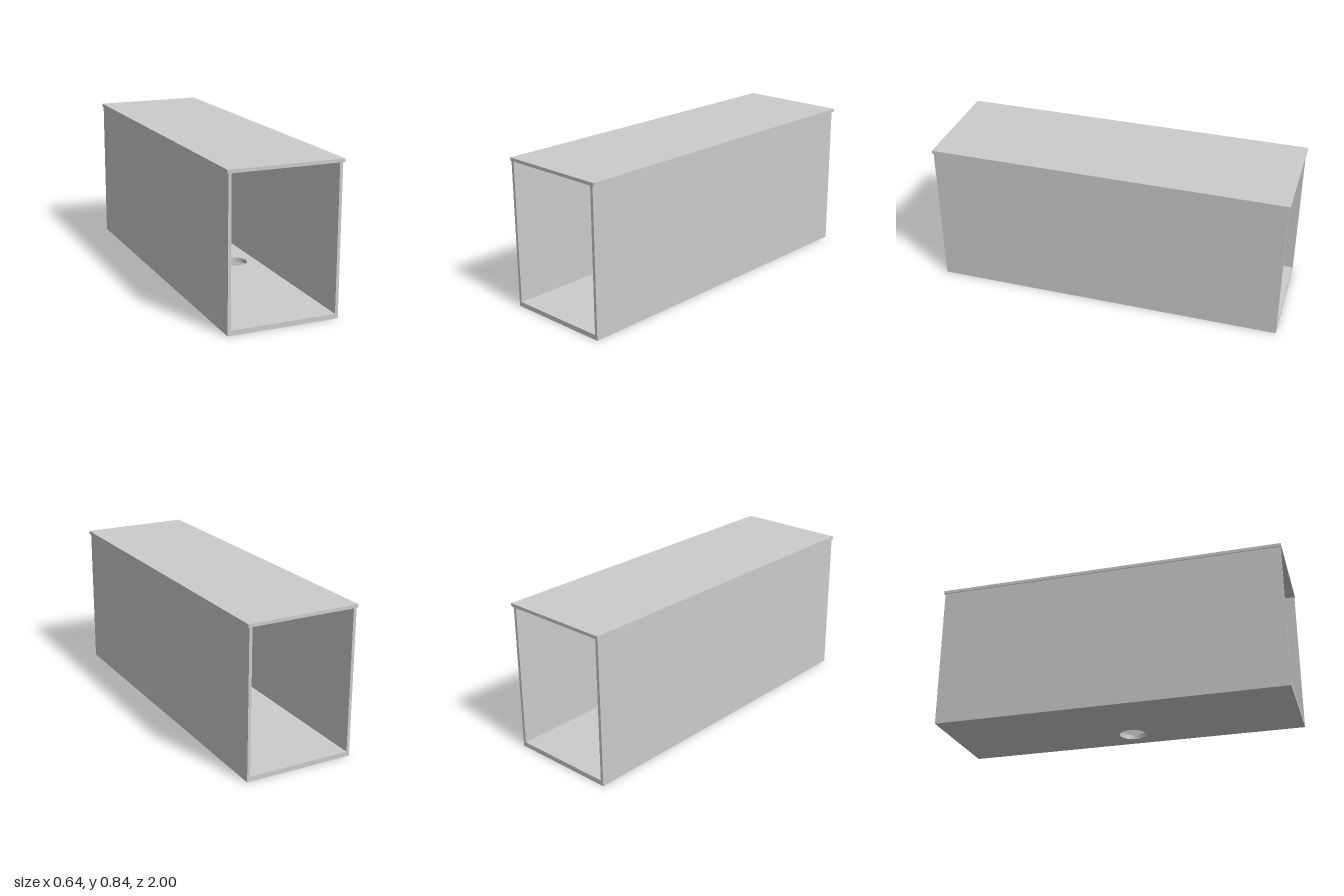
import * as THREE from 'three';

export function createModel() {
  const group = new THREE.Group();
  const material = new THREE.MeshStandardMaterial({ color: 0xcccccc });

  const add = (name, geometry, x, y, z) => {
    const mesh = new THREE.Mesh(geometry, material);
    mesh.name = name;
    mesh.position.set(x, y, z);
    group.add(mesh);
    return mesh;
  };

  // Channel body dimensions; it sits slightly off-centre under the lid
  const length = 1.99, centerX = -0.0025, centerZ = 0.002;
  const outerHalf = 0.31, wall = 0.017, floorHeight = 0.027;
  const lidBottom = 0.825, lidHeight = 0.018;

  // Side walls
  for (const [name, side] of [['leftWall', 1], ['rightWall', -1]]) {
    add(name, new THREE.BoxGeometry(wall, lidBottom, length),
      centerX + side * (outerHalf - wall / 2), lidBottom / 2, centerZ);
  }

  // Floor slab with a round drain hole, drawn as (x, -z) and laid flat
  const w = outerHalf - wall, l = length / 2;
  const outline = new THREE.Shape([
    new THREE.Vector2(-w, -l), new THREE.Vector2(w, -l),
    new THREE.Vector2(w, l), new THREE.Vector2(-w, l),
  ]);
  const hole = new THREE.Path();
  hole.absarc(0.16, -0.028, 0.076, 0, Math.PI * 2, true);
  outline.holes.push(hole);
  const floorGeometry = new THREE.ExtrudeGeometry(outline, {
    depth: floorHeight, bevelEnabled: false, curveSegments: 32,
  });
  floorGeometry.rotateX(-Math.PI / 2);
  add('floor', floorGeometry, centerX, 0, centerZ);

  // Overhanging lid
  add('lid', new THREE.BoxGeometry(0.636, lidHeight, 2), 0, lidBottom + lidHeight / 2, 0);

  return group;
}
